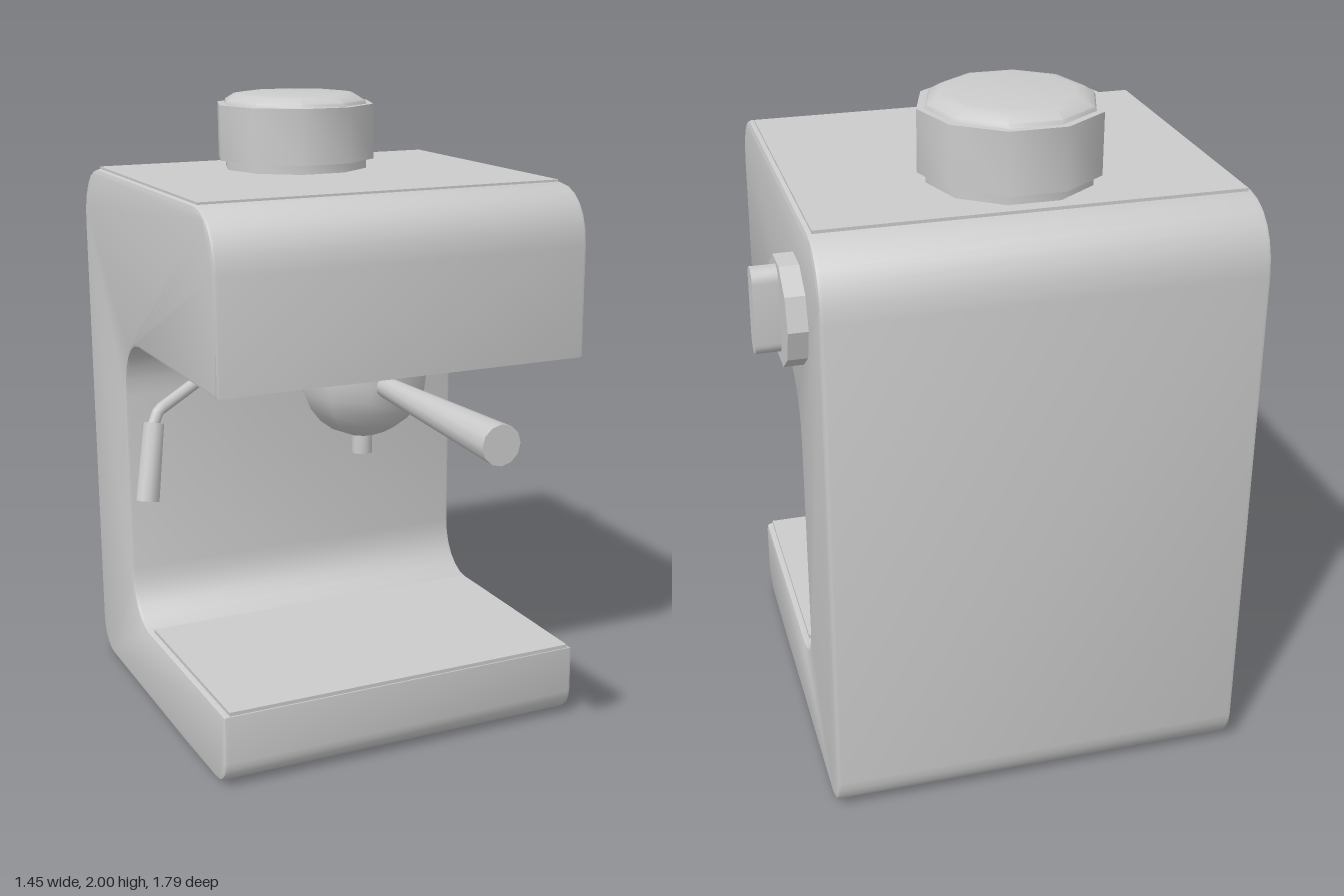
import * as THREE from 'three';
import { toCreasedNormals } from 'three/addons/utils/BufferGeometryUtils.js';

const material = new THREE.MeshStandardMaterial({ color: 0xcccccc });
const V = (x, y, z) => new THREE.Vector3(x, y, z);

export function createModel() {
  const model = new THREE.Group();

  const add = (name, geometry, crease = 0.7) => {
    const mesh = new THREE.Mesh(toCreasedNormals(geometry, crease), material);
    mesh.name = name;
    model.add(mesh);
    return mesh;
  };

  // Ten-sided turned part, profile listed from bottom to top
  const turned = (name, points, x, z) => {
    const profile = points.map(([r, y]) => new THREE.Vector2(r, y));
    const mesh = add(name, new THREE.LatheGeometry(profile, 10, Math.PI / 2));
    mesh.position.set(x, 0, z);
    return mesh;
  };

  // Tapered rod between two points
  const rod = (name, a, b, ra, rb, sides = 10) => {
    const mesh = add(name, new THREE.CylinderGeometry(rb, ra, a.distanceTo(b), sides));
    mesh.position.copy(a).add(b).multiplyScalar(0.5);
    mesh.quaternion.setFromUnitVectors(V(0, 1, 0), b.clone().sub(a).normalize());
    return mesh;
  };

  // C-shaped housing, drawn in side profile (z, y) and extruded across x
  const side = new THREE.Shape();
  side.moveTo(0.355, 0.243);
  side.lineTo(0.355, 0.09);
  side.bezierCurveTo(0.35, 0.04, 0.32, 0.008, 0.26, 0.006);
  side.lineTo(0, 0);
  side.lineTo(-0.79, 0);
  side.bezierCurveTo(-0.845, 0.003, -0.885, 0.05, -0.887, 0.11);
  side.lineTo(-0.892, 1.56);
  side.bezierCurveTo(-0.89, 1.67, -0.83, 1.745, -0.73, 1.752);
  side.lineTo(0.2, 1.752);
  side.bezierCurveTo(0.29, 1.75, 0.355, 1.68, 0.355, 1.57);
  side.lineTo(0.355, 1.223);
  side.lineTo(-0.36, 1.223);
  side.bezierCurveTo(-0.45, 1.22, -0.51, 1.14, -0.51, 1.03);
  side.lineTo(-0.51, 0.42);
  side.bezierCurveTo(-0.51, 0.32, -0.45, 0.25, -0.36, 0.243);
  side.closePath();
  const bevel = 0.012;
  const housing = new THREE.ExtrudeGeometry(side, {
    depth: 1.22 - 2 * bevel, curveSegments: 6,
    bevelSize: bevel, bevelThickness: bevel, bevelOffset: -bevel, bevelSegments: 2,
  });
  housing.rotateY(-Math.PI / 2);
  housing.translate(0.595 - bevel, 0, 0);
  add('housing', housing, 0.6);

  // Thin inset panels on the base and on the roof
  add('dripTray', new THREE.BoxGeometry(1.18, 0.03, 0.70)).position.set(-0.015, 0.24, 0);
  add('topPanel', new THREE.BoxGeometry(1.19, 0.02, 0.94)).position.set(-0.015, 1.749, -0.27);

  // Bean hopper with chamfered lid
  turned('beanHopper', [
    [0.238, 1.74], [0.238, 1.79], [0.2625, 1.79], [0.2625, 1.967],
    [0.24, 1.967], [0.235, 1.978], [0.205, 1.996], [0.18, 2], [0, 2],
  ], -0.022, -0.47);

  // Brew head: spout, bowl and collar
  const bowl = [[0, 0.955]];
  for (let i = 1; i <= 6; i++) {
    const a = (i / 6) * Math.PI / 2;
    bowl.push([0.206 * Math.sin(a), 1.16 - 0.205 * Math.cos(a)]);
  }
  turned('filterBowl', [...bowl, [0.206, 1.2], [0.24, 1.203], [0.24, 1.23]], 0, -0.003);
  rod('spout', V(0, 0.895, -0.003), V(0, 0.99, -0.003), 0.033, 0.033);
  rod('filterHandle', V(-0.012, 1.155, 0.15), V(-0.012, 1.157, 0.895), 0.031, 0.059, 12);

  // Steam wand: bent pipe and grip
  const joints = [
    V(-0.405, 1.24, -0.285), V(-0.45, 1.13, -0.25),
    V(-0.625, 1.065, -0.165), V(-0.648, 1.02, -0.155),
  ];
  const pipe = new THREE.CurvePath();
  for (let i = 0; i < 3; i++) pipe.add(new THREE.LineCurve3(joints[i], joints[i + 1]));
  add('steamPipe', new THREE.TubeGeometry(pipe, 24, 0.019, 8), 1);
  rod('steamGrip', V(-0.645, 1.03, -0.157), V(-0.69, 0.795, -0.105), 0.033, 0.037);

  // Side dial with a raised pill-shaped grip
  const dial = add('dial', new THREE.CylinderGeometry(0.153, 0.153, 0.07, 10).rotateZ(Math.PI / 2), 0.5);
  dial.position.set(0.615, 1.473, -0.57);
  const pill = new THREE.Shape();
  pill.absarc(0, 0.088, 0.037, 0, Math.PI);
  pill.absarc(0, -0.088, 0.037, Math.PI, Math.PI * 2);
  const grip = new THREE.ExtrudeGeometry(pill, { depth: 0.08, bevelEnabled: false, curveSegments: 6 });
  add('dialGrip', grip.rotateY(Math.PI / 2)).position.set(0.64, 1.48, -0.567);

  return model;
}
